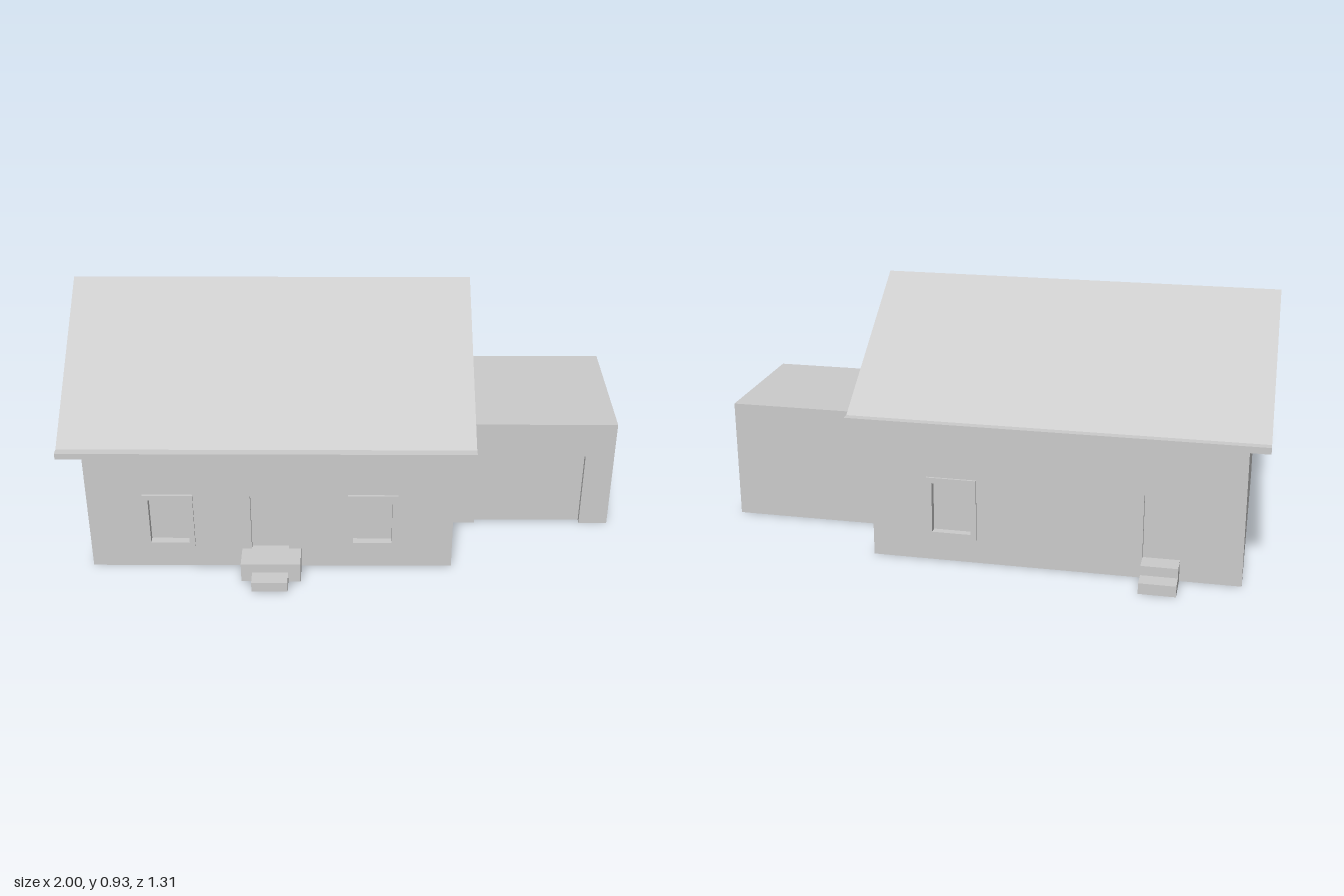
import * as THREE from 'three';

const material = new THREE.MeshStandardMaterial({ color: 0xcccccc, flatShading: true });
const MID = -0.013;                       // z of the ridge
const FRONT = 0.504, BACK = -0.53;        // outer wall faces
const LEFT = 0.385, RIGHT = -0.93;        // gable wall faces
const RECESS = 0.02;                      // depth of doors and panes

export function createModel() {
  const house = new THREE.Group();
  house.name = 'house';

  const add = (name, geometry) => {
    const mesh = new THREE.Mesh(geometry, material);
    mesh.name = name;
    house.add(mesh);
    return mesh;
  };

  const box = (name, x0, x1, y0, y1, z0, z1) =>
    add(name, new THREE.BoxGeometry(x1 - x0, y1 - y0, z1 - z0)
      .translate((x0 + x1) / 2, (y0 + y1) / 2, (z0 + z1) / 2));

  const toPoints = list => list.map(([a, b]) => new THREE.Vector2(a, b));
  const rectangle = ([x0, x1, y0, y1]) => toPoints([[x0, y0], [x1, y0], [x1, y1], [x0, y1]]);

  // Upright panel between z0 and z1 with rectangular openings
  const panel = (name, outline, openings, z0, z1) => {
    const shape = new THREE.Shape(outline);
    openings.forEach(o => shape.holes.push(new THREE.Path(rectangle(o).reverse())));
    return add(name, new THREE.ExtrudeGeometry(shape, { depth: z1 - z0, bevelEnabled: false })
      .translate(0, 0, z0));
  };

  // (z, y) profile swept along x
  const sweep = (name, profile, x0, x1) => {
    const shape = new THREE.Shape(toPoints(profile.map(([z, y]) => [-z, y])));
    return add(name, new THREE.ExtrudeGeometry(shape, { depth: x1 - x0, bevelEnabled: false })
      .rotateY(Math.PI / 2).translate(x0, 0, 0));
  };

  // House body, set back behind the front and back wall skins
  const zf = FRONT - RECESS, zb = BACK + RECESS;
  sweep('houseBody', [[zf, 0], [zb, 0], [zb, 0.577], [MID, 0.89], [zf, 0.577]], RIGHT, LEFT);

  // Long walls with door and window openings
  const windowY = [0.09, 0.317], rim = 0.02;
  const inset = ([x0, x1, y0, y1]) => [x0 + rim, x1 - rim, y0 + rim, y1 - rim];
  const frontWindows = [[-0.73, -0.55, ...windowY], [0.005, 0.185, ...windowY]];
  const backWindows = [[0.005, 0.185, ...windowY]];
  const wall = rectangle([RIGHT, LEFT, 0, 0.568]);
  panel('frontWall', wall, [[-0.345, -0.21, 0.075, 0.31], ...frontWindows.map(inset)], zf, FRONT);
  panel('backWall', wall, [[-0.715, -0.585, 0.07, 0.31], ...backWindows.map(inset)], BACK, zb);

  // Raised window frames
  frontWindows.forEach(w =>
    panel('frontWindowFrame', rectangle(w), [inset(w)], FRONT, FRONT + 0.008));
  backWindows.forEach(w =>
    panel('backWindowFrame', rectangle(w), [inset(w)], BACK - 0.008, BACK));

  // Gabled roof slab with squared eaves
  const half = [[0.555, 0.527], [0.58, 0.527], [0.58, 0.55], [0.553, 0.55]];
  const roof = [
    [MID, 0.89],
    ...half.map(([d, y]) => [MID + d, y]),
    [MID, 0.927],
    ...half.map(([d, y]) => [MID - d, y]).reverse(),
  ];
  // The eave reaches a little beyond the profile above
  const reach = 0.607 / 0.58;
  sweep('roof', roof.map(([z, y]) => [MID + (z - MID) * reach, y]).reverse(), -1, 0.45);

  // Steps at both doors
  box('frontLanding', -0.38, -0.165, 0, 0.077, FRONT, 0.597);
  box('frontStep', -0.34, -0.21, 0, 0.04, 0.597, 0.655);
  box('backLanding', -0.715, -0.585, 0, 0.075, -0.592, BACK);
  box('backStep', -0.715, -0.585, 0, 0.04, -0.655, -0.592);

  // Garage with a recessed door open to the ground
  const gz = 0.238;
  box('garageBody', LEFT, 1, 0, 0.447, -0.277, gz - RECESS);
  panel('garageFront', toPoints([
    [LEFT, 0], [0.49, 0], [0.49, 0.308], [0.893, 0.308],
    [0.893, 0], [1, 0], [1, 0.447], [LEFT, 0.447],
  ]), [], gz - RECESS, gz);

  return house;
}
